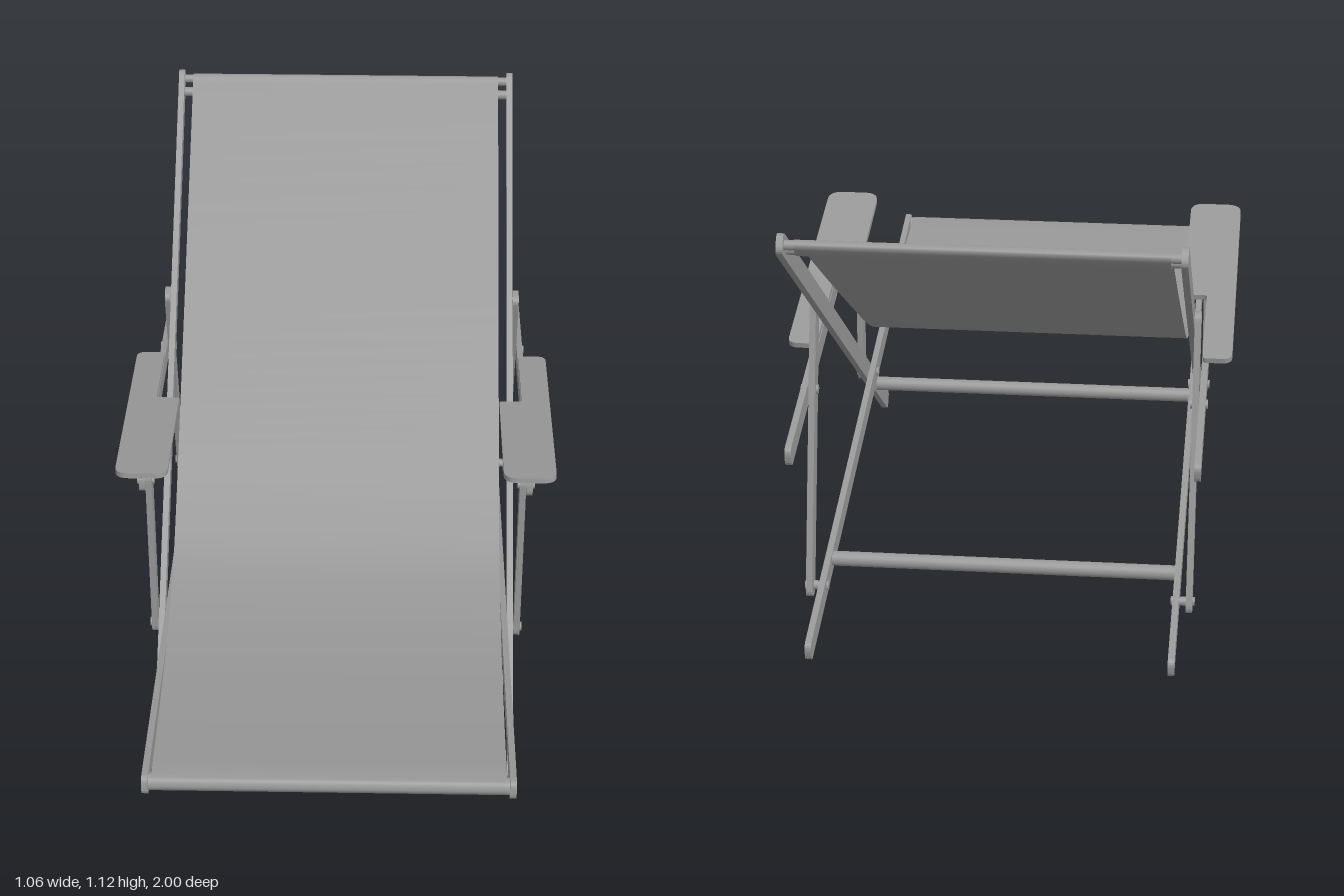
import * as THREE from 'three';

const mat = new THREE.MeshStandardMaterial({ color: 0x999999 });
const clothMat = new THREE.MeshStandardMaterial({ color: 0x979797, side: THREE.DoubleSide });

function add(parent, name, geometry, material = mat) {
  const mesh = new THREE.Mesh(geometry, material);
  mesh.name = name;
  parent.add(mesh);
}

// Closed outline from [x, y, cornerRadius] points
function roundedOutline(points) {
  const shape = new THREE.Shape();
  const n = points.length;
  points.forEach(([x, y, r], i) => {
    const p = new THREE.Vector2(x, y);
    const toward = ([a, b]) => new THREE.Vector2(a, b).sub(p).setLength(r).add(p);
    const a = toward(points[(i + n - 1) % n]);
    const b = toward(points[(i + 1) % n]);
    if (i === 0) shape.moveTo(a.x, a.y);
    else shape.lineTo(a.x, a.y);
    shape.quadraticCurveTo(x, y, b.x, b.y);
  });
  shape.closePath();
  return shape;
}

// Flat wooden slat with rounded ends, between two [z, y] points, lying in an x layer
function slat(parent, name, side, layer, [z1, y1], [z2, y2]) {
  const thick = 0.015, w = 0.0245, r = 0.02;
  const h = Math.hypot(z2 - z1, y2 - y1) / 2;
  const outline = roundedOutline([[-h, -w, r], [h, -w, r], [h, w, r], [-h, w, r]]);
  const g = new THREE.ExtrudeGeometry(outline, { depth: thick, bevelEnabled: false, curveSegments: 6 });
  g.rotateZ(Math.atan2(y2 - y1, z1 - z2));
  g.translate(-(z1 + z2) / 2, (y1 + y2) / 2, side > 0 ? layer : -layer - thick);
  g.rotateY(Math.PI / 2);
  add(parent, name, g);
}

// Round bar along x
function rod(parent, name, x1, x2, [z, y], r) {
  const g = new THREE.CylinderGeometry(r, r, Math.abs(x2 - x1), 20);
  g.rotateZ(Math.PI / 2).translate((x1 + x2) / 2, y, z);
  add(parent, name, g);
}

// Thin tilted board, notched on its inner rear edge
function armrest(parent, side) {
  const pts = [
    [0.402, -0.35, 0.035], [0.528, -0.35, 0.035], [0.528, 0.35, 0.025],
    [0.458, 0.35, 0.01], [0.458, 0.077, 0.008], [0.402, 0.077, 0.008],
  ].map(([x, y, r]) => [side * x, y, r]);
  const g = new THREE.ExtrudeGeometry(roundedOutline(pts), { depth: 0.013, bevelEnabled: false, curveSegments: 8 });
  g.rotateX(-Math.PI / 2 - 0.174).translate(0, 0.65, -0.055);
  add(parent, 'armrest', g);
}

// Fabric sling swept across the width, hemmed around the rods at both ends
function sling(parent) {
  const path = [
    [0.975, 0.344], [0.99, 0.352], [0.996, 0.366], [0.988, 0.382], [0.97, 0.386],
    [0.75, 0.365], [0.5, 0.35], [0.34, 0.357], [0.2, 0.388], [0.07, 0.45],
    [-0.1, 0.552], [-0.5, 0.8], [-0.955, 1.088], [-0.977, 1.101], [-0.989, 1.094],
    [-0.986, 1.081], [-0.95, 1.053], [-0.935, 1.056], [-0.93, 1.07],
  ];
  const curve = new THREE.CatmullRomCurve3(path.map(([z, y]) => new THREE.Vector3(0, y, z)), false, 'centripetal');
  const steps = 180;
  const g = new THREE.PlaneGeometry(0.806, 1, 1, steps);
  const pos = g.attributes.position;
  for (let i = 0; i <= steps; i++) {
    const p = curve.getPoint(1 - i / steps);
    for (let k = 0; k < 2; k++) {
      const v = i * 2 + k;
      pos.setXYZ(v, pos.getX(v), p.y, p.z);
    }
  }
  g.computeVertexNormals();
  add(parent, 'fabricSling', g, clothMat);
}

export function createModel() {
  const chair = new THREE.Group();
  chair.name = 'deckChair';

  for (const side of [1, -1]) {
    const frame = new THREE.Group();
    frame.name = side > 0 ? 'leftFrame' : 'rightFrame';
    chair.add(frame);

    slat(frame, 'seatRail', side, 0.41, [1.0, 0.37], [-0.887, 0.037]);
    slat(frame, 'backRail', side, 0.425, [0.56, 0.01], [-0.993, 1.1]);
    slat(frame, 'backStrut', side, 0.441, [-0.467, 0.75], [-0.65, 0.06]);
    slat(frame, 'armPost', side, 0.441, [0.25, 0.22], [0.25, 0.705]);
    slat(frame, 'armBar', side, 0.457, [0.272, 0.681], [-0.8, 0.491]);
    armrest(frame, side);

    // Pivot bolts: inner x, outer x, [z, y]
    const bolts = [
      [0.405, 0.461, [0.25, 0.237]],
      [0.405, 0.461, [-0.64, 0.083]],
      [0.427, 0.455, [-0.473, 0.73]],
      [0.436, 0.477, [0.25, 0.678]],
      [0.436, 0.477, [-0.523, 0.54]],
    ];
    for (const [a, b, at] of bolts) rod(frame, 'pivotBolt', side * a, side * b, at, 0.011);
  }

  // Cross members
  rod(chair, 'frontRoller', -0.412, 0.412, [0.975, 0.365], 0.02);
  rod(chair, 'lowerCrossbar', -0.43, 0.43, [0.352, 0.156], 0.018);
  rod(chair, 'rearCrossbar', -0.415, 0.415, [-0.54, 0.103], 0.018);
  rod(chair, 'topRod', -0.43, 0.43, [-0.976, 1.088], 0.011);
  rod(chair, 'topClampRod', -0.43, 0.43, [-0.945, 1.066], 0.012);

  sling(chair);
  return chair;
}
